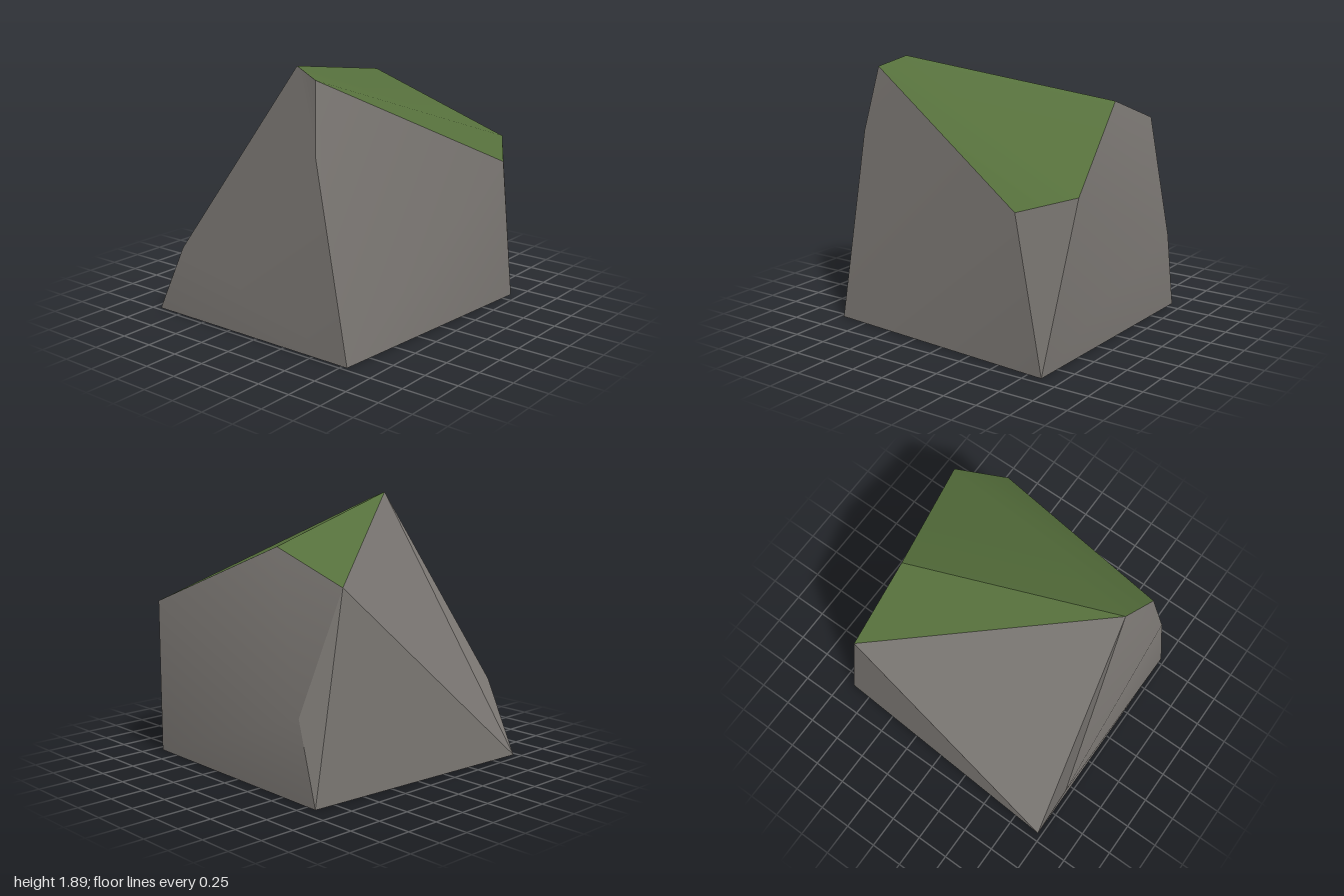
import * as THREE from 'three';
import { toCreasedNormals } from 'three/addons/utils/BufferGeometryUtils.js';

// Corners of the boulder
const P = {
  baseBL: [-0.97, 0, -0.945], baseBR: [0.91, 0, -0.83], baseFR: [0.86, 0, 0.935], baseFL: [-0.97, 0, 0.79],
  east: [1.0, 1.18, 0.73], front: [0.66, 1.08, 0.945], ridge: [0.71, 1.63, -0.235], back: [0.68, 1.42, -0.84],
  peak: [-0.78, 1.89, 0.23], brow: [-0.86, 1.83, 0.45], cheek: [-0.95, 1.36, 0.52],
  west: [-1.0, 0.53, -0.66], flank: [0.925, 0.58, -0.69],
};

// Faces, listed as convex loops of corners
const STONE = [
  'baseBL baseBR baseFR baseFL',                                    // underside
  'baseFL baseFR front', 'baseFL front brow', 'baseFL brow cheek',  // front
  'baseFR east front',                                              // front corner
  'baseFR flank east', 'baseFR baseBR flank', 'ridge east flank',   // right side
  'ridge flank back', 'back flank baseBR',
  'baseBL baseBR back', 'baseBL back peak',                         // back
  'baseBL peak west', 'baseBL west baseFL', 'baseFL west cheek',    // left side
  'cheek west peak', 'cheek peak brow',
];
const MOSS = ['brow front east', 'peak brow east ridge', 'peak ridge back'];

// Fans each loop into triangles, turned outward from the middle of the boulder
function facets(loops, crease) {
  const middle = new THREE.Vector3(0, 0.75, 0);
  const points = [];
  for (const loop of loops) {
    const v = loop.split(' ').map((n) => new THREE.Vector3(...P[n]));
    for (let i = 1; i < v.length - 1; i++) {
      const tri = new THREE.Triangle(v[0], v[i], v[i + 1]);
      const outward = tri.getNormal(new THREE.Vector3()).dot(v[0].clone().sub(middle)) > 0;
      points.push(v[0], ...(outward ? [v[i], v[i + 1]] : [v[i + 1], v[i]]));
    }
  }
  return toCreasedNormals(new THREE.BufferGeometry().setFromPoints(points), crease);
}

export function createModel() {
  const model = new THREE.Group();
  model.name = 'mossyBoulder';

  const stone = new THREE.MeshStandardMaterial({ color: 0x7a7672 });
  stone.name = 'grey stone';
  const moss = new THREE.MeshStandardMaterial({ color: 0x56703c });
  moss.name = 'green moss';

  const body = new THREE.Mesh(facets(STONE, 0.44), stone);
  body.name = 'boulderBody';
  const cap = new THREE.Mesh(facets(MOSS, 0.44), moss);
  cap.name = 'mossCap';
  model.add(body, cap);
  return model;
}
